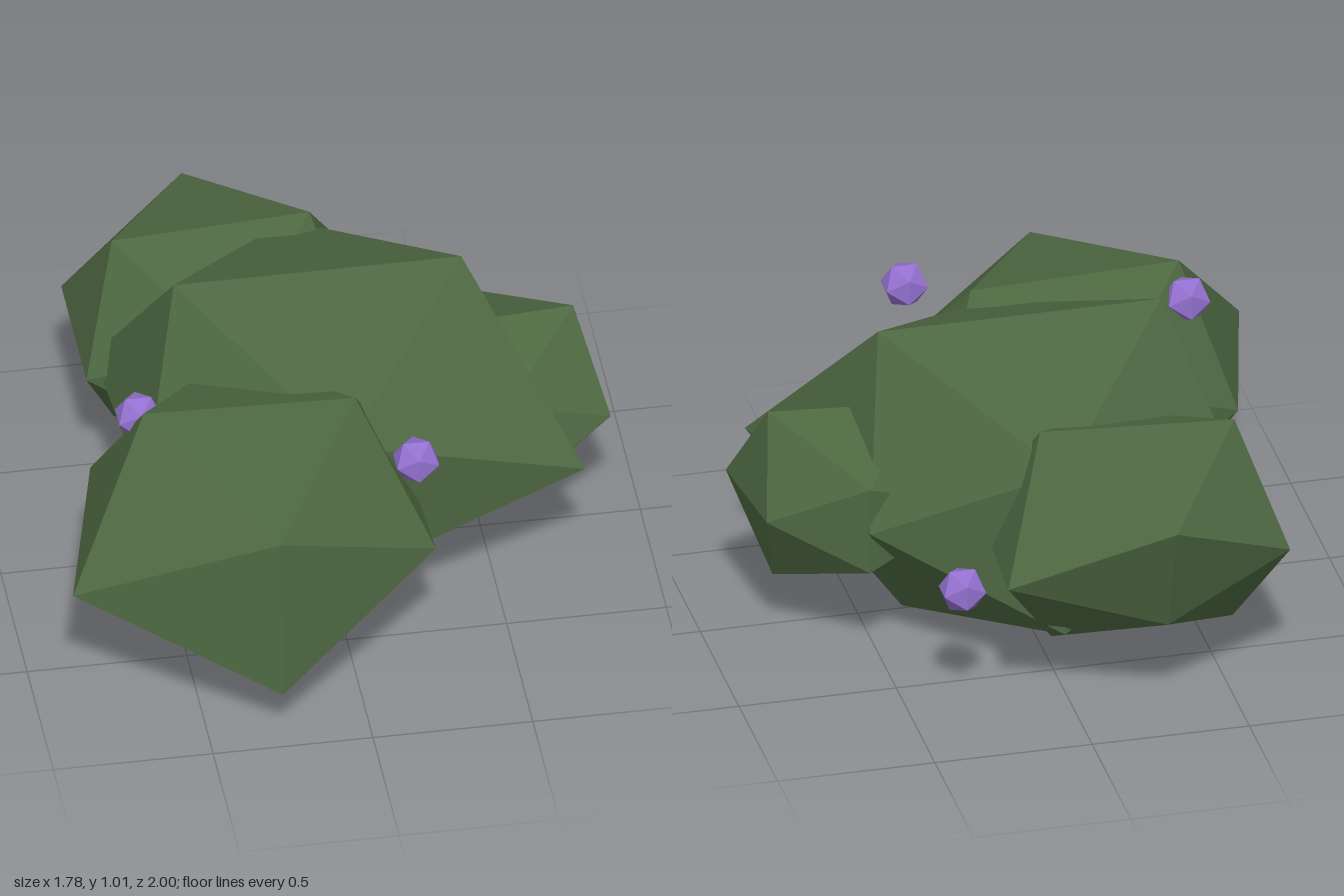
import * as THREE from 'three';

// Icosahedron corners and faces
const S = 1, L = (1 + Math.sqrt(5)) / 2;
const CORNERS = [
  [-S, L, 0], [S, L, 0], [-S, -L, 0], [S, -L, 0],
  [0, -S, L], [0, S, L], [0, -S, -L], [0, S, -L],
  [L, 0, -S], [L, 0, S], [-L, 0, -S], [-L, 0, S],
];
const FACES = [
  0, 11, 5, 0, 5, 1, 0, 1, 7, 0, 7, 10, 0, 10, 11,
  1, 5, 9, 5, 11, 4, 11, 10, 2, 10, 7, 6, 7, 1, 8,
  3, 9, 4, 3, 4, 2, 3, 2, 6, 3, 6, 8, 3, 8, 9,
  4, 9, 5, 2, 4, 11, 6, 2, 10, 8, 6, 7, 9, 8, 1,
];

// Squashed icosahedron whose corners are pushed in or out by a factor each
function clumpGeometry(size, factors) {
  const points = CORNERS.flatMap(([x, y, z], i) => {
    const k = size * factors[i];
    return [x * k, y * k * 0.728, z * k * 0.94];
  });
  const indexed = new THREE.BufferGeometry();
  indexed.setAttribute('position', new THREE.Float32BufferAttribute(points, 3));
  indexed.setIndex(FACES);
  const geometry = indexed.toNonIndexed();
  geometry.computeVertexNormals();
  return geometry;
}

export function createModel() {
  const leafGreen = new THREE.MeshStandardMaterial({ color: 0x4d6741, name: 'leafGreen' });
  const berryPurple = new THREE.MeshStandardMaterial({ color: 0x9370cf, name: 'berryPurple' });
  const bush = new THREE.Group();
  bush.name = 'berryBush';

  // Leaf clumps
  const clumps = [
    { name: 'middleClump', at: [0, 0.48, -0.06], size: 0.45,
      factors: [1, 1, 0.91, 0.83, 0.79, 0.83, 0.86, 0.85, 0.76, 1.05, 0.88, 0.82] },
    { name: 'frontClump', at: [-0.28, 0.48, 0.4], size: 0.34,
      factors: [1, 0.95, 0.95, 0.95, 1.15, 1.05, 0.9, 0.9, 0.9, 0.955, 0.84, 1.125] },
    { name: 'backClump', at: [-0.27, 0.48, -0.545], size: 0.3,
      factors: [0.98, 1.08, 0.96, 0.96, 0.9, 0.9, 0.735, 1.01, 1.02, 0.95, 0.85, 0.85] },
    { name: 'leftClump', at: [0.55, 0.48, -0.06], size: 0.25,
      factors: [0.9, 1, 0.9, 0.94, 0.91, 0.68, 0.8, 0.81, 0.73, 0.83, 0.9, 0.9] },
  ];
  for (const { name, at, size, factors } of clumps) {
    const mesh = new THREE.Mesh(clumpGeometry(size, factors), leafGreen);
    mesh.name = name;
    mesh.position.set(...at);
    bush.add(mesh);
  }

  // Berries
  const berryGeometry = new THREE.IcosahedronGeometry(0.077, 0);
  const berries = [[0.195, 0.78, 0.635], [-0.62, 0.8, 0.3], [0.34, 0.43, -0.705]];
  berries.forEach((at, i) => {
    const berry = new THREE.Mesh(berryGeometry, berryPurple);
    berry.name = `berry${i + 1}`;
    berry.position.set(...at);
    bush.add(berry);
  });
  return bush;
}
